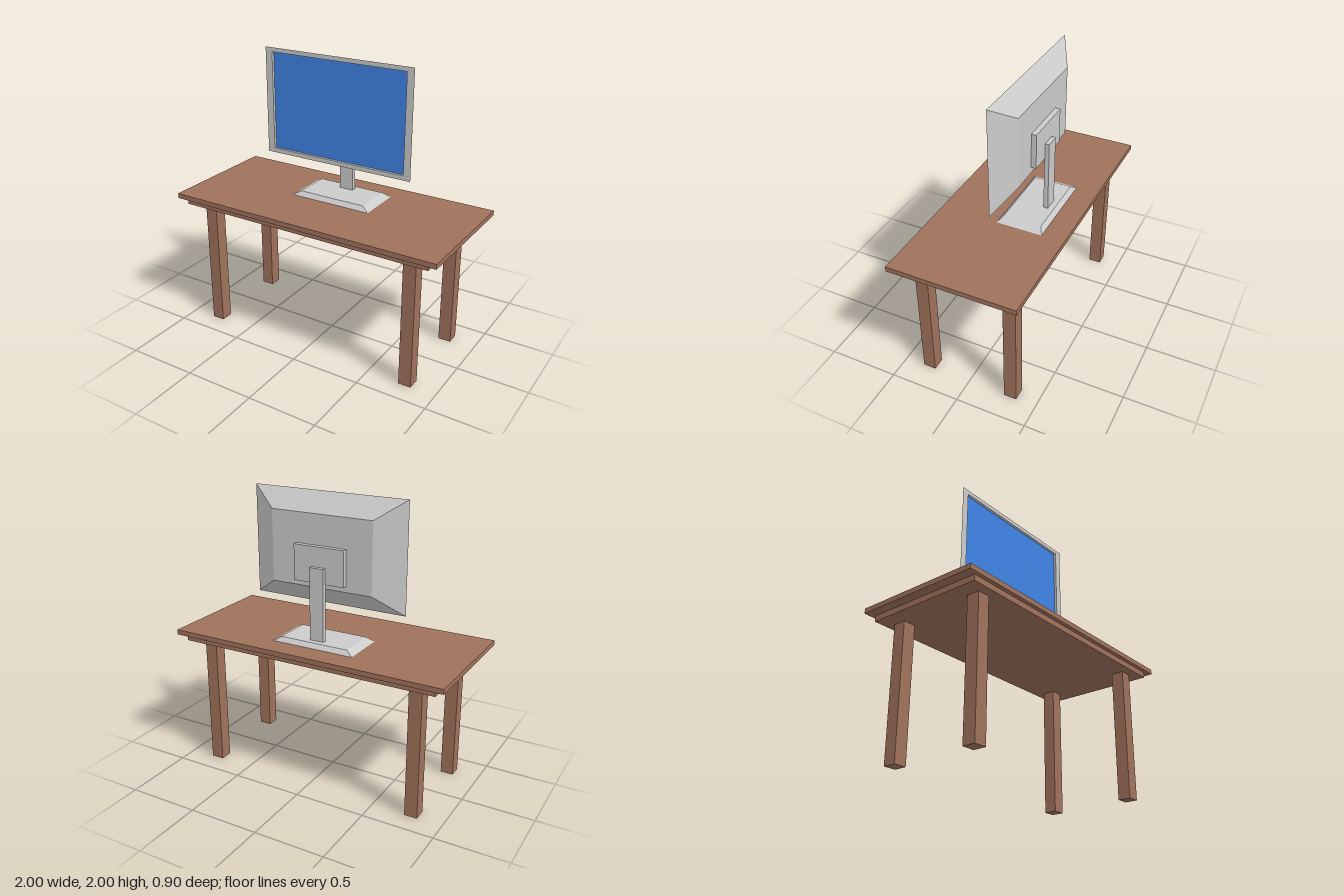
import * as THREE from 'three';

const wood = new THREE.MeshStandardMaterial({ color: 0xa0725c });
const grey = new THREE.MeshStandardMaterial({ color: 0xcccccc, flatShading: true });
const blue = new THREE.MeshStandardMaterial({ color: 0x3f84e6 });

// Box given by its lower and upper limits on each axis
function box(name, material, [x0, x1], [y0, y1], [z0, z1]) {
  const mesh = new THREE.Mesh(new THREE.BoxGeometry(x1 - x0, y1 - y0, z1 - z0), material);
  mesh.position.set((x0 + x1) / 2, (y0 + y1) / 2, (z0 + z1) / 2);
  mesh.name = name;
  return mesh;
}

// Skin over a row of centred rectangles [halfWidth, halfHeight, z], closed at both ends
function loft(rings) {
  const corners = rings.map(([w, h, z]) => [[-w, -h, z], [w, -h, z], [w, h, z], [-w, h, z]]);
  const points = [];
  const quad = (a, b, c, d) => points.push(...a, ...b, ...c, ...a, ...c, ...d);
  for (let r = 0; r < corners.length - 1; r++) {
    const a = corners[r], b = corners[r + 1];
    for (let i = 0; i < 4; i++) {
      const j = (i + 1) % 4;
      quad(a[i], a[j], b[j], b[i]);
    }
  }
  quad(...[...corners[0]].reverse());
  quad(...corners[corners.length - 1]);
  const geometry = new THREE.BufferGeometry();
  geometry.setAttribute('position', new THREE.Float32BufferAttribute(points, 3));
  geometry.computeVertexNormals();
  return geometry;
}

function createDesk() {
  const desk = new THREE.Group();
  desk.name = 'desk';
  desk.add(box('tableTop', wood, [-1, 1], [0.965, 1], [-0.45, 0.45]));
  desk.add(box('apron', wood, [-0.935, 0.935], [0.925, 0.965], [-0.422, 0.422]));
  for (const sx of [-1, 1]) {
    for (const sz of [-1, 1]) {
      const leg = box('leg', wood, [-0.045, 0.045], [0, 0.925], [-0.045, 0.045]);
      leg.position.x = sx * 0.782;
      leg.position.z = sz * 0.313;
      desk.add(leg);
    }
  }
  return desk;
}

function createMonitor() {
  const monitor = new THREE.Group();
  monitor.name = 'monitor';

  // Tapered housing with a flat front rim and a shallow recess for the screen
  const housing = new THREE.Mesh(loft([
    [0.37, 0.245, -0.158], [0.563, 0.375, -0.052],
    [0.511, 0.344, -0.052], [0.511, 0.344, -0.073],
  ]), grey);
  housing.name = 'housing';
  housing.position.y = 1.625;
  monitor.add(housing);

  const screen = new THREE.Mesh(new THREE.PlaneGeometry(1.022, 0.688), blue);
  screen.name = 'screen';
  screen.position.set(0, 1.625, -0.071);
  monitor.add(screen);

  // Stand
  monitor.add(box('mountPlate', grey, [-0.185, 0.185], [1.42, 1.665], [-0.193, -0.158]));
  monitor.add(box('post', grey, [-0.051, 0.051], [1.03, 1.53], [-0.222, -0.19]));
  const base = new THREE.Mesh(loft([[0.302, 0.163, 0], [0.25, 0.135, 0.03]]), grey);
  base.name = 'standBase';
  base.rotation.x = -Math.PI / 2;
  base.position.set(0, 1, -0.127);
  monitor.add(base);
  return monitor;
}

export function createModel() {
  const model = new THREE.Group();
  model.name = 'deskWithMonitor';
  model.add(createDesk(), createMonitor());
  return model;
}
